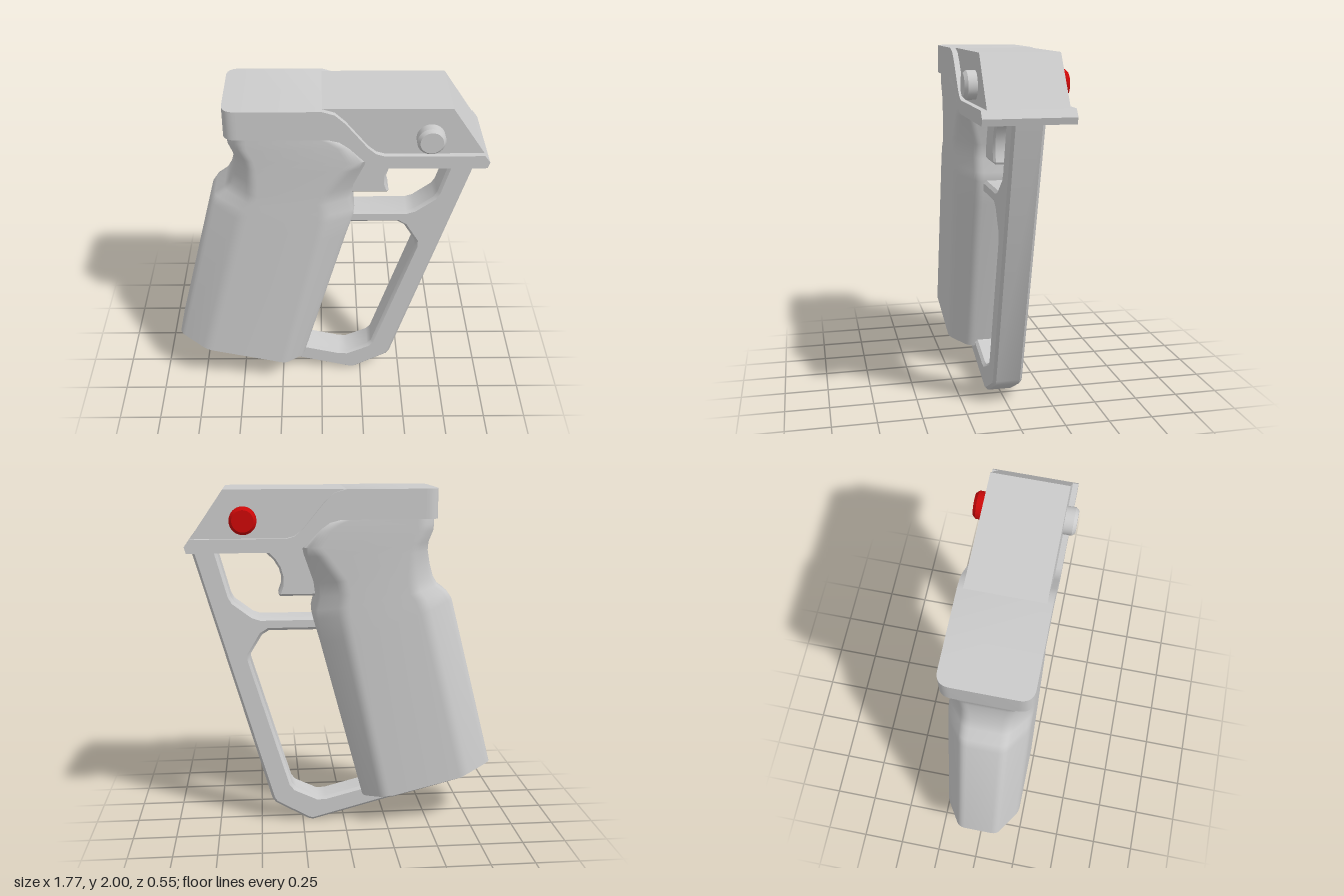
import * as THREE from 'three';
import { toCreasedNormals } from 'three/addons/utils/BufferGeometryUtils.js';

const grey = new THREE.MeshStandardMaterial({ color: 0xcccccc });
const red = new THREE.MeshStandardMaterial({ color: 0xcc0808 });

const V2 = (pts) => pts.map(([x, y]) => new THREE.Vector2(x, y));

function mesh(name, geometry, material = grey) {
  const m = new THREE.Mesh(geometry, material);
  m.name = name;
  return m;
}

// Side outline extruded symmetrically about z = 0, with optional edge bevel
function slab(pts, halfWidth, bevel = 0, holes = []) {
  const shape = new THREE.Shape(V2(pts));
  holes.forEach((h) => shape.holes.push(new THREE.Path(V2(h))));
  const geo = new THREE.ExtrudeGeometry(shape, {
    depth: 2 * (halfWidth - bevel), bevelEnabled: bevel > 0,
    bevelSize: bevel, bevelThickness: bevel, bevelOffset: -bevel, bevelSegments: 1,
  });
  geo.translate(0, 0, -(halfWidth - bevel));
  return toCreasedNormals(geo, 0.5);
}

// Octagonal ring with softened corners, spanning from the back to the front point
function ring({ back, front, hw, bc, bw, fc, fw }, round) {
  const [bx, by] = back, [fx, fy] = front;
  const len = Math.hypot(fx - bx, fy - by);
  const corners = V2([
    [len, fw], [len, -fw], [len - fc, -hw], [bc, -hw],
    [0, -bw], [0, bw], [bc, hw], [len - fc, hw],
  ]);
  const out = [];
  corners.forEach((c, i) => {
    const toward = (p) => c.clone().lerp(p, Math.min(0.45, round / c.distanceTo(p)));
    const a = toward(corners[(i + 7) % 8]), b = toward(corners[(i + 1) % 8]);
    out.push(...new THREE.QuadraticBezierCurve(a, c, b).getPoints(4));
  });
  return out.map((p) => {
    const t = p.x / len;
    return new THREE.Vector3(bx + t * (fx - bx), by + t * (fy - by), p.y);
  });
}

// Skin over rings listed from bottom to top, closed at both ends
function loft(sections, round, crease) {
  const rings = sections.map((s) => ring(s, round));
  const n = rings[0].length, pos = [];
  const tri = (...v) => v.forEach((p) => pos.push(p.x, p.y, p.z));
  const mid = (r) => r.reduce((s, p) => s.add(p), new THREE.Vector3()).divideScalar(n);
  const top = rings[rings.length - 1], c0 = mid(rings[0]), c1 = mid(top);
  for (let j = 0; j < n; j++) {
    const k = (j + 1) % n;
    for (let i = 0; i < rings.length - 1; i++) {
      const a = rings[i], b = rings[i + 1];
      tri(a[j], a[k], b[k]);
      tri(a[j], b[k], b[j]);
    }
    tri(c0, rings[0][k], rings[0][j]);
    tri(c1, top[j], top[k]);
  }
  const geo = new THREE.BufferGeometry();
  geo.setAttribute('position', new THREE.Float32BufferAttribute(pos, 3));
  return toCreasedNormals(geo, crease);
}

export function createModel() {
  const group = new THREE.Group();

  // Grip: back x/y, front x/y, half width, back chamfer length/half width, front chamfer length/half width
  const grip = [
    [-0.885, 0.36, -0.11, 0.165, 0.23, 0.18, 0.12, 0.12, 0.12],
    [-0.625, 1.365, 0.14, 1.12, 0.23, 0.18, 0.12, 0.16, 0.12],
    [-0.595, 1.41, 0.18, 1.26, 0.23, 0.17, 0.12, 0.17, 0.12],
    [-0.54, 1.45, 0.184, 1.31, 0.23, 0.15, 0.12, 0.17, 0.12],
    [-0.51, 1.5, 0.165, 1.39, 0.23, 0.13, 0.12, 0.16, 0.12],
    [-0.49, 1.57, 0.175, 1.47, 0.23, 0.11, 0.125, 0.15, 0.13],
    [-0.474, 1.65, 0.23, 1.63, 0.23, 0.09, 0.14, 0.1, 0.18],
    [-0.476, 1.7, 0.24, 1.68, 0.23, 0.08, 0.15, 0.07, 0.2],
    [-0.5, 1.765, 0.165, 1.775, 0.23, 0.07, 0.16, 0.05, 0.2],
    [-0.503, 1.8, 0.11, 1.815, 0.23, 0.07, 0.16, 0.05, 0.2],
    [-0.5, 1.837, 0.05, 1.837, 0.23, 0.07, 0.16, 0.05, 0.2],
  ].map(([bx, by, fx, fy, hw, bc, bw, fc, fw]) => ({ back: [bx, by], front: [fx, fy], hw, bc, bw, fc, fw }));
  group.add(mesh('grip', loft(grip, 0.035, 0.75)));

  // Stepped plate closing the bottom of the grip
  const plate = [
    { back: [-0.815, 0.305], front: [-0.195, 0.145], hw: 0.165, bc: 0.13, bw: 0.08, fc: 0.09, fw: 0.08 },
    { back: [-0.837, 0.322], front: [-0.175, 0.157], hw: 0.19, bc: 0.14, bw: 0.1, fc: 0.1, fw: 0.1 },
    { back: [-0.83, 0.36], front: [-0.16, 0.19], hw: 0.19, bc: 0.14, bw: 0.1, fc: 0.1, fw: 0.1 },
  ];
  group.add(mesh('basePlate', loft(plate, 0.015, 0.5)));

  // Housing: wide lower body with a lip, and a narrower cover
  group.add(mesh('housingBody', slab([
    [-0.44, 2], [-0.44, 1.835], [0.03, 1.835], [0.09, 1.82], [0.14, 1.785], [0.235, 1.69],
    [0.27, 1.668], [0.31, 1.66], [0.875, 1.66], [0.885, 1.695], [0.855, 1.735],
    [0.33, 1.735], [0.285, 1.748], [0.24, 1.785], [0.12, 1.93], [0.065, 1.98], [0, 2],
  ], 0.24)));
  group.add(mesh('housingCover', slab([
    [0, 2], [0, 1.9], [0.3, 1.7], [0.855, 1.735], [0.67, 2],
  ], 0.21)));

  // Rounded back end of the housing
  const cap = new THREE.Shape();
  cap.moveTo(-0.44, -0.24).lineTo(-0.44, 0.24);
  cap.quadraticCurveTo(-0.515, 0.24, -0.515, 0.165);
  cap.lineTo(-0.515, -0.165).quadraticCurveTo(-0.515, -0.24, -0.44, -0.24);
  const capGeo = new THREE.ExtrudeGeometry(cap, { depth: 0.165, bevelEnabled: false, curveSegments: 10 });
  capGeo.rotateX(-Math.PI / 2).translate(0, 1.835, 0);
  group.add(mesh('housingBack', toCreasedNormals(capGeo, 0.5)));

  // Guard frame with crossbar, running under the grip
  group.add(mesh('guardFrame', slab([
    [0.87, 1.69], [0.435, 0.15], [0.415, 0.12], [0.22, 0.008], [0.19, 0], [-0.54, 0.195],
    [-0.575, 0.23], [-0.56, 0.27], [-0.2, 0.3], [0, 1.265], [0.48, 1.265], [0.525, 1.28],
    [0.63, 1.36], [0.65, 1.395], [0.73, 1.69],
  ], 0.085, 0.016, [[
    [-0.14, 0.215], [0.11, 0.15], [0.16, 0.148], [0.29, 0.21], [0.315, 0.24], [0.545, 1.01],
    [0.545, 1.05], [0.475, 1.165], [0.435, 1.19], [0.06, 1.19],
  ]])));

  // Trigger
  group.add(mesh('trigger', slab([
    [0.1, 1.7], [0.1, 1.387], [0.368, 1.387], [0.375, 1.4], [0.358, 1.45], [0.358, 1.5],
    [0.372, 1.55], [0.4, 1.595], [0.46, 1.655], [0.46, 1.7],
  ], 0.07, 0.012)));

  // Side buttons, red on the far side
  const profile = V2([[0.075, 0.18], [0.075, 0.258], [0.06, 0.275], [0, 0.275]]);
  for (const [name, side, material] of [['frontButton', 1, grey], ['backButton', -1, red]]) {
    const geo = toCreasedNormals(new THREE.LatheGeometry(profile, 32).toNonIndexed(), 0.5);
    const button = mesh(name, geo, material);
    button.rotation.x = side * Math.PI / 2;
    button.position.set(0.565, 1.835, 0);
    group.add(button);
  }
  return group;
}
